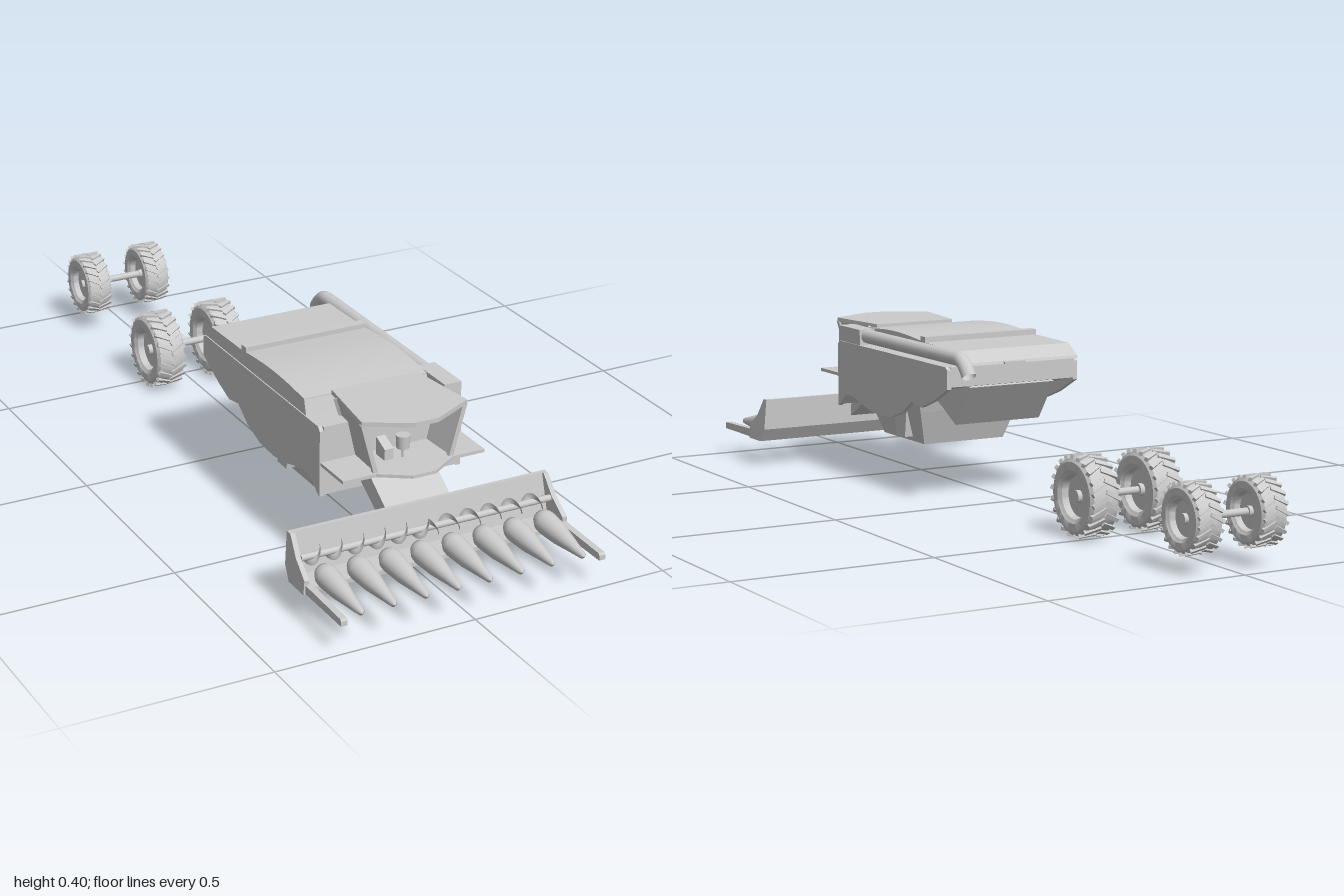
import * as THREE from 'three';
import { mergeGeometries, toCreasedNormals } from 'three/addons/utils/BufferGeometryUtils.js';
import { ParametricGeometry } from 'three/addons/geometries/ParametricGeometry.js';

const mat = new THREE.MeshStandardMaterial({ color: 0xcccccc, side: THREE.DoubleSide });
const V = (x, y, z) => new THREE.Vector3(x, y, z);

function add(parent, name, geo) {
  const m = new THREE.Mesh(geo, mat);
  m.name = name;
  parent.add(m);
  return m;
}

// Side outline given as [z, y] points, extruded from x0 to x1
function sideExtrude(pts, x0, x1) {
  const shape = new THREE.Shape(pts.map(p => new THREE.Vector2(p[0], p[1])));
  return new THREE.ExtrudeGeometry(shape, { depth: x1 - x0, bevelEnabled: false })
    .rotateY(-Math.PI / 2).translate(x1, 0, 0);
}

// Plan outline given as [x, z] points for the right half, mirrored, extruded from y0 to y1
function planExtrude(half, y0, y1) {
  const pts = [...half, ...half.map(([x, z]) => [-x, z]).reverse()];
  const shape = new THREE.Shape(pts.map(([x, z]) => new THREE.Vector2(x, -z)));
  return new THREE.ExtrudeGeometry(shape, { depth: y1 - y0, bevelEnabled: false })
    .rotateX(-Math.PI / 2).translate(0, y0, 0);
}

function box(x0, x1, y0, y1, z0, z1) {
  return new THREE.BoxGeometry(x1 - x0, y1 - y0, z1 - z0)
    .translate((x0 + x1) / 2, (y0 + y1) / 2, (z0 + z1) / 2);
}

// Square bar between two points
function bar(a, b, w) {
  const g = new THREE.BoxGeometry(w, w, a.distanceTo(b));
  const m = new THREE.Matrix4().lookAt(a, b, V(0, 1, 0.01));
  return g.applyMatrix4(m.setPosition(a.clone().lerp(b, 0.5)));
}

function quad(a, b, c, d) {
  const g = new THREE.BufferGeometry().setFromPoints([a, b, c, a, c, d]);
  g.computeVertexNormals();
  return g;
}

function wheel(r, w) {
  const g = new THREE.Group();
  const half = [[0.001, .22], [.5, .22], [.54, .42], [.6, .46], [.64, .5], [.84, .5], [.93, .42], [.95, .2]];
  const profile = [...half.map(([a, b]) => [a, -b]), ...half.slice().reverse()]
    .map(([a, b]) => new THREE.Vector2(a * r, b * w));
  const tyre = new THREE.LatheGeometry(profile, 40).rotateZ(Math.PI / 2);
  add(g, 'tyreAndRim', toCreasedNormals(tyre, 0.6));
  // Chevron tread, staggered by half a step on each side
  const lugs = [];
  const n = 22;
  for (const s of [-1, 1]) for (let i = 0; i < n; i++) {
    lugs.push(new THREE.BoxGeometry(w * .54, r * .1, r * .1)
      .rotateY(s * 0.5).translate(s * w * .23, r * .945, 0)
      .rotateX((i + (s > 0 ? .5 : 0)) / n * Math.PI * 2));
  }
  add(g, 'treadLugs', mergeGeometries(lugs));
  add(g, 'hub', new THREE.CylinderGeometry(r * .13, r * .16, w * .75, 16).rotateZ(Math.PI / 2));
  return g;
}

function axle(name, r, w, y, z) {
  const g = new THREE.Group();
  g.name = name;
  for (const s of [-1, 1]) {
    const one = wheel(r, w);
    one.name = s > 0 ? 'leftWheel' : 'rightWheel';
    one.position.x = s * .086;
    g.add(one);
  }
  add(g, 'axleBeam', new THREE.CylinderGeometry(.009, .009, .17, 12).rotateZ(Math.PI / 2));
  g.position.set(0, y, z);
  return g;
}

function header() {
  const g = new THREE.Group();
  g.name = 'header';
  add(g, 'trough', sideExtrude([[.74, .18], [.75, .18], [.768, .08], [.83, .076], [.83, .066], [.765, .066], [.743, .1]], -.335, .335));
  for (const s of [-1, 1]) {
    // End plate leaning outward towards the bottom
    const plate = sideExtrude([[.74, .18], [.757, .18], [.79, .135], [.835, .1], [.835, .066], [.765, .066], [.743, .1]], -.006, .006);
    const p = plate.attributes.position;
    for (let i = 0; i < p.count; i++) p.setX(i, p.getX(i) + s * (.338 - (p.getY(i) - .066) * .07));
    plate.computeVertexNormals();
    add(g, 'endPlate', plate);
    add(g, 'endDivider', sideExtrude([[.8, .068], [.8, .09], [.995, .085], [1, .08], [1, .068]], s * .331 - .008, s * .331 + .008));
  }
  // Row snouts, drooping towards the tip
  for (let i = 0; i < 8; i++) {
    const prof = [[.001, 0], [.02, 0], [.027, .015], [.028, .03], [.024, .08], [.014, .14], [.008, .178], [.001, .185]]
      .map(p => new THREE.Vector2(...p));
    const s = new THREE.LatheGeometry(prof, 20).rotateX(Math.PI / 2);
    const p = s.attributes.position;
    for (let k = 0; k < p.count; k++) p.setY(k, p.getY(k) - .08 * p.getZ(k));
    s.computeVertexNormals();
    add(g, 'snout', s.translate((i - 3.5) * .0813, .1, .812));
  }
  add(g, 'augerTube', new THREE.CylinderGeometry(.008, .008, .65, 16).rotateZ(Math.PI / 2).translate(0, .13, .785));
  // Flights mirrored about the middle
  for (const s of [-1, 1]) {
    const flight = (u, v, t) => {
      const a = u * Math.PI * 2 * 5.75, r = .007 + .015 * v;
      t.set(s * u * .318, .13 + r * Math.cos(a), .785 + r * Math.sin(a));
    };
    add(g, 'augerFlight', new ParametricGeometry(flight, 140, 1));
  }
  return g;
}

function cab() {
  const g = new THREE.Group();
  g.name = 'cab';
  add(g, 'roof', planExtrude([[.112, .53], [.136, .715], [.03, .77]], .38, .391));
  add(g, 'platform', planExtrude([[.184, .6], [.184, .72], [.1, .72], [.03, .765]], .25, .258));
  for (const s of [-1, 1]) {
    const a = V(s * .092, .255, .6), b = V(s * .097, .255, .71), c = V(s * .132, .383, .71), d = V(s * .118, .383, .56);
    add(g, 'sideWall', quad(a, b, c, d));
    add(g, 'frontPillar', bar(b, c, .011));
    add(g, 'rearPillar', bar(a, d, .008));
  }
  add(g, 'seat', new THREE.CylinderGeometry(.017, .015, .032, 20).translate(-.003, .298, .67));
  add(g, 'seatPost', new THREE.CylinderGeometry(.003, .003, .035, 8).translate(-.003, .27, .67));
  add(g, 'console', sideExtrude([[.63, .255], [.67, .255], [.67, .285], [.63, .302]], -.05, -.027));
  return g;
}

function body() {
  const g = new THREE.Group();
  g.name = 'body';
  const sill = [[.612, .172], [.6, .178], [.57, .205], [.545, .208], [.5, .2], [.44, .184], [.38, .177],
    [.31, .182], [.25, .202], [.2, .236], [.15, .228], [.09, .25], [.012, .29]];
  const side = [[.012, .338], [.022, .345], [.602, .345], [.612, .335], ...sill];
  for (const s of [-1, 1]) add(g, 'sidePanel', sideExtrude(side, s * .18 - .006, s * .18 + .006));
  // Inner core, recessed above the side sills
  add(g, 'core', sideExtrude([[.012, .295], [.012, .345], [.612, .345], [.612, .175], [.59, .2], [.54, .235], [.24, .24], [.15, .265]], -.176, .176));
  add(g, 'rearChute', sideExtrude([[.22, .25], [.16, .224], [.09, .187], [.015, .29], [.1, .31]], -.12, .12));
  // Belly, narrowing towards the bottom
  const belly = sideExtrude([[.53, .25], [.52, .2], [.485, .112], [.265, .112], [.235, .2], [.22, .25]], -1, 1);
  const p = belly.attributes.position;
  for (let i = 0; i < p.count; i++) p.setX(i, p.getX(i) * (.115 + (p.getY(i) - .112) * .3));
  belly.computeVertexNormals();
  add(g, 'belly', belly);
  for (const s of [-1, 1]) {
    add(g, 'bellyRib', sideExtrude([[.38, .2], [.365, .125], [.32, .125], [.31, .2]], s * .13 - .012, s * .13 + .012));
  }
  add(g, 'feederHouse', sideExtrude([[.62, .255], [.745, .17], [.748, .115], [.61, .2], [.58, .22], [.58, .255]], -.084, .084));
  return g;
}

function grainTank() {
  const g = new THREE.Group();
  g.name = 'grainTank';
  add(g, 'tank', sideExtrude([[.005, .345], [.008, .352], [.05, .378], [.2, .381], [.53, .381], [.54, .345]], -.183, .14));
  // Gently arched lid
  const arch = [];
  for (let i = 0; i <= 10; i++) arch.push([.23 + .03 * i, .383 + .009 * Math.sin(Math.PI * i / 10)]);
  add(g, 'lid', sideExtrude([[.53, .378], [.23, .378], ...arch], -.183, .14));
  add(g, 'crossRidge', box(-.183, .14, .38, .395, .212, .236));
  add(g, 'rearLip', box(-.03, .03, .345, .35, 0, .01));
  add(g, 'spoutBase', box(.138, .183, .343, .385, .49, .612));
  // Unloading pipe with a downturned end
  const path = new THREE.CurvePath();
  path.add(new THREE.LineCurve3(V(.16, .367, .52), V(.16, .367, 0)));
  path.add(new THREE.QuadraticBezierCurve3(V(.16, .367, 0), V(.16, .367, -.025), V(.16, .328, -.052)));
  add(g, 'unloadingPipe', new THREE.TubeGeometry(path, 60, .018, 18));
  return g;
}

export function createModel() {
  const root = new THREE.Group();
  root.name = 'combineHarvester';
  root.add(header(), cab(), body(), grainTank(),
    axle('frontAxle', .098, .078, .098, -.475),
    axle('rearAxle', .082, .068, .121, -.917));
  return root;
}
